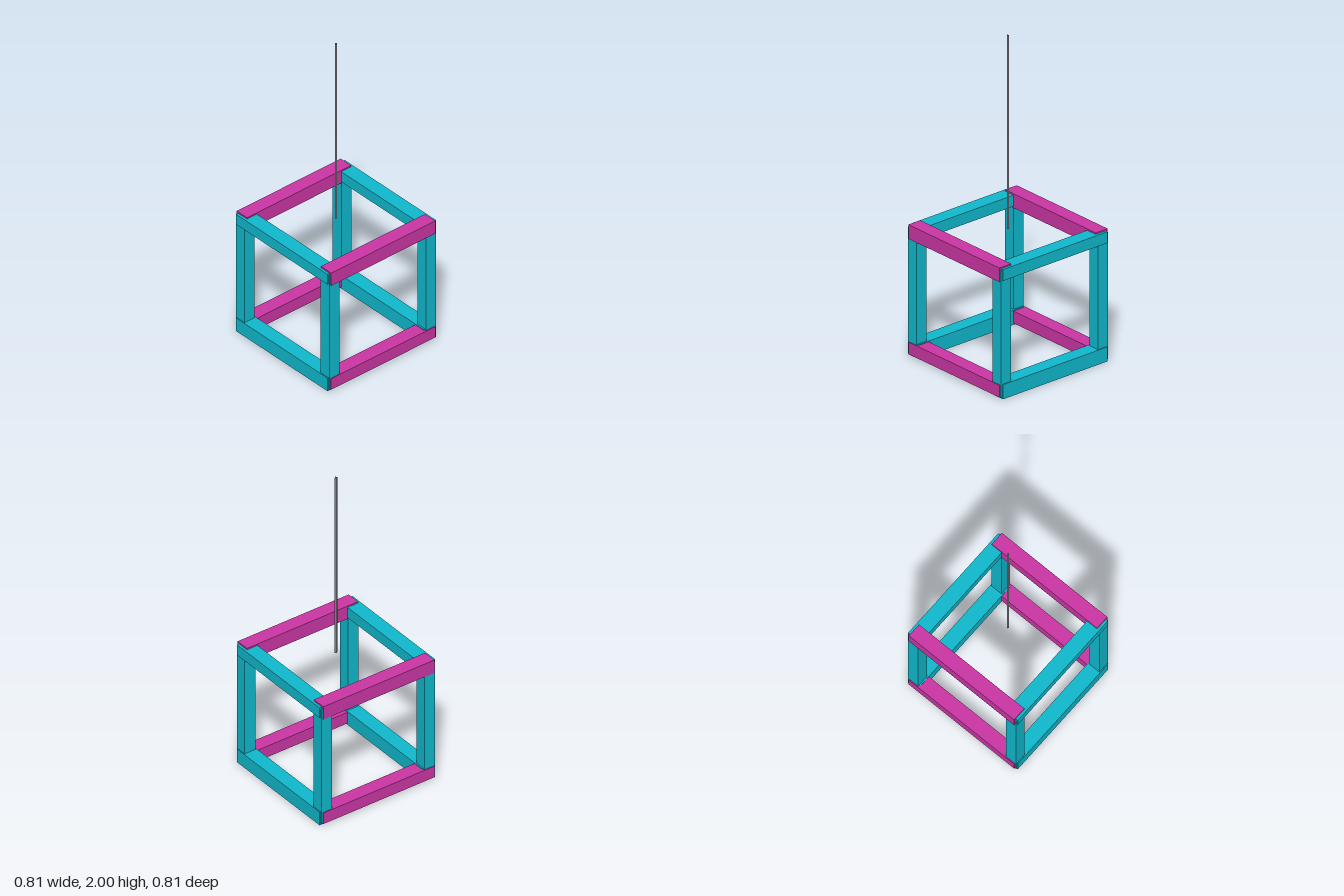
import * as THREE from 'three';

export function createModel() {
  const model = new THREE.Group();
  model.name = 'cubeFrame';

  const material = (name, color) => {
    const m = new THREE.MeshStandardMaterial({ color });
    m.name = name;
    return m;
  };
  const teal = material('teal', 0x10b9cd);
  const magenta = material('magenta', 0xcb36a5);
  const grey = material('grey', 0x7c7c88);

  const add = (name, geometry, mat, x, y, z) => {
    const mesh = new THREE.Mesh(geometry, mat);
    mesh.name = name;
    mesh.position.set(x, y, z);
    model.add(mesh);
  };

  // Bars differ slightly in thickness so that their joints overlap cleanly
  const post = new THREE.BoxGeometry(0.075, 0.785, 0.075);
  const topSide = new THREE.BoxGeometry(0.09, 0.07, 0.784);
  const bottomSide = new THREE.BoxGeometry(0.09, 0.09, 0.784);
  const topCross = new THREE.BoxGeometry(0.78, 0.088, 0.089);
  const bottomCross = new THREE.BoxGeometry(0.78, 0.075, 0.089);

  for (const s of [-1, 1]) {
    const side = s > 0 ? 'left' : 'right';
    const end = s > 0 ? 'front' : 'back';

    // Corner posts
    for (const e of [-1, 1]) {
      add(`${side}${e > 0 ? 'Front' : 'Back'}Post`, post, teal, s * 0.3625, 0.4025, e * 0.3625);
    }

    // Bars running front to back
    add(`${side}TopBar`, topSide, teal, s * 0.361, 0.769, 0);
    add(`${side}BottomBar`, bottomSide, teal, s * 0.361, 0.045, 0);

    // Bars running left to right
    add(`${end}TopBar`, topCross, magenta, 0, 0.769, s * 0.361);
    add(`${end}BottomBar`, bottomCross, magenta, 0, 0.0475, s * 0.361);
  }

  // Slender four-sided rod above the centre
  const rod = new THREE.CylinderGeometry(0.009, 0.009, 1.2, 4).toNonIndexed();
  rod.computeVertexNormals();
  add('hangingRod', rod, grey, 0, 1.4, 0);

  return model;
}
